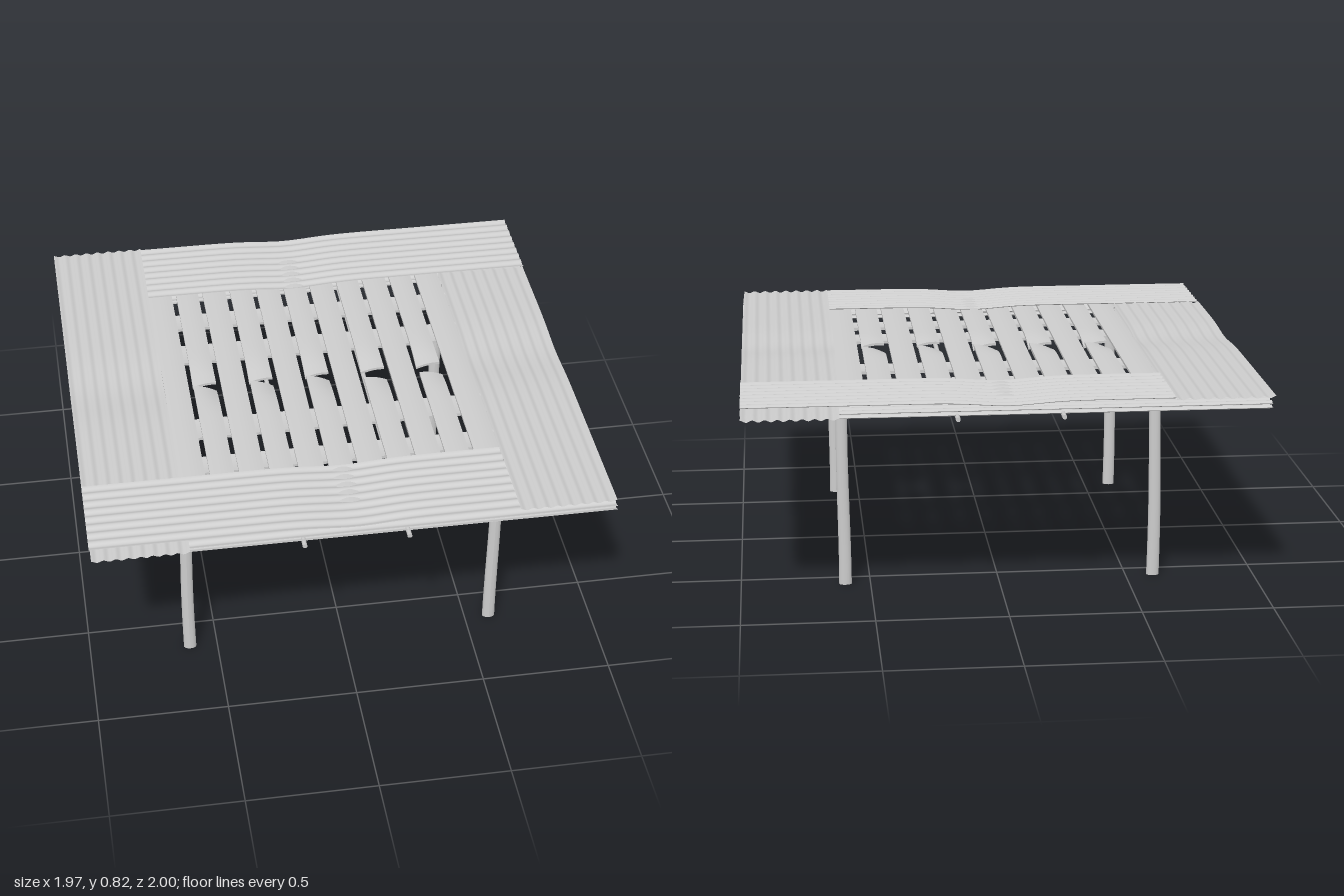
import * as THREE from 'three';

const mat = new THREE.MeshStandardMaterial({ color: 0xcccccc, side: THREE.DoubleSide });

function add(parent, name, geo, x = 0, y = 0, z = 0) {
  const mesh = new THREE.Mesh(geo, mat);
  mesh.name = name;
  mesh.position.set(x, y, z);
  parent.add(mesh);
  return mesh;
}

// Move every vertex of a geometry by a rule
function bend(geo, rule) {
  const p = geo.attributes.position, v = new THREE.Vector3();
  for (let i = 0; i < p.count; i++) {
    rule(v.fromBufferAttribute(p, i));
    p.setXYZ(i, v.x, v.y, v.z);
  }
  geo.computeVertexNormals();
  return geo;
}

// Gentle dip around the middle of the top
const dip = t => -0.014 * Math.exp(-((t / 0.15) ** 2));

// Corrugated sheet, ridges along its long side
function sheet(x0, x1, z0, z1, sag) {
  const w = x1 - x0, d = z1 - z0, alongZ = d > w;
  const geo = new THREE.PlaneGeometry(w, d, alongZ ? 64 : 32, alongZ ? 32 : 64);
  geo.rotateX(-Math.PI / 2);
  geo.translate((x0 + x1) / 2, 0, (z0 + z1) / 2);
  return bend(geo, v => {
    const across = alongZ ? (v.x - x0) / w : (v.z - z0) / d;
    v.y = 0.004 * Math.cos(across * Math.PI * 16) + (sag ? dip(alongZ ? v.z : v.x) : 0);
  });
}

// Slightly arched board running along z, from z0 to z1
function board(width, thick, z0, z1, arch, rule = () => {}) {
  const geo = new THREE.BoxGeometry(width, thick, z1 - z0, 6, 1, 16);
  geo.translate(0, 0, (z0 + z1) / 2);
  return bend(geo, v => {
    v.y += arch * (1 - (2 * v.x / width) ** 2);
    rule(v);
  });
}

export function createModel() {
  const table = new THREE.Group();
  table.name = 'table';

  // Top sheets, laid as a pinwheel around the opening
  const top = new THREE.Group();
  top.name = 'topSheets';
  table.add(top);
  add(top, 'leftSheet', sheet(-0.985, -0.615, -0.99, 0.6, true), 0, 0.821);
  add(top, 'backSheet', sheet(-0.615, 0.98, -0.98, -0.61, true), 0, 0.821);
  add(top, 'rightSheet', sheet(0.61, 0.975, -0.61, 0.98, true), 0, 0.821);
  add(top, 'frontSheet', sheet(-0.985, 0.61, 0.6, 0.97, true), 0, 0.821);

  // Two lower rings of sheets, overlapping the other way round
  for (const y of [0.774, 0.79]) {
    const ring = new THREE.Group();
    ring.name = 'lowerRing';
    table.add(ring);
    add(ring, 'lowerLeftSheet', sheet(-0.98, -0.62, -0.6, 0.98, false), 0, y);
    add(ring, 'lowerFrontSheet', sheet(-0.62, 0.98, 0.62, 0.98, false), 0, y);
    add(ring, 'lowerRightSheet', sheet(0.62, 0.98, -0.98, 0.62, false), 0, y);
    add(ring, 'lowerBackSheet', sheet(-0.98, 0.62, -0.98, -0.62, false), 0, y);
  }

  // Slats across the opening; every second one is snapped in the middle
  const slats = new THREE.Group();
  slats.name = 'slats';
  table.add(slats);
  for (let i = 0; i < 11; i++) {
    const x = (i - 5) * 0.113;
    if (i % 2 === 0) {
      add(slats, 'slat', board(0.097, 0.01, -0.83, 0.83, 0.006), x, 0.798);
      continue;
    }
    const wide = i >= 7;
    const droop = side => v => {
      const k = Math.max(0, 1 - Math.abs(v.z) / 0.2) ** 2;
      v.y += k * (-0.012 + side * v.x * 0.3);
      v.z += k * v.x * 0.15;
    };
    add(slats, 'brokenSlatBack', board(0.092, 0.01, -0.83, -0.012, 0.006, droop(1)), x, 0.798);
    add(slats, 'brokenSlatFront', board(0.092, 0.01, wide ? 0.052 : 0.01, 0.83, 0.006, droop(-1)), x, 0.798);
  }

  // Cross boards under the slats
  for (const side of [-1, 1]) {
    for (const [z, width] of [[0.25, 0.12], [0.48, 0.1], [0.75, 0.12]]) {
      const cross = add(table, 'crossBoard', board(width, 0.012, -0.81, 0.81, -0.004), 0, 0.773, side * z);
      cross.rotation.y = Math.PI / 2;
    }
  }

  // Thin rods running front to back
  for (const x of [-0.2, 0.19]) {
    const rod = add(table, 'rod', new THREE.CylinderGeometry(0.009, 0.009, 2, 10), x, 0.767, 0);
    rod.rotation.x = Math.PI / 2;
  }

  // Flattened, slightly crooked legs
  for (const x of [-0.607, 0.6]) {
    for (const z of [-0.575, 0.635]) {
      const geo = new THREE.CylinderGeometry(0.022, 0.025, 0.8, 14, 10);
      geo.scale(1, 1, 0.68);
      bend(geo, v => { v.x += 0.003 * Math.sin(v.y * 6 + x); });
      add(table, 'leg', geo, x, 0.4, z);
    }
  }
  return table;
}
